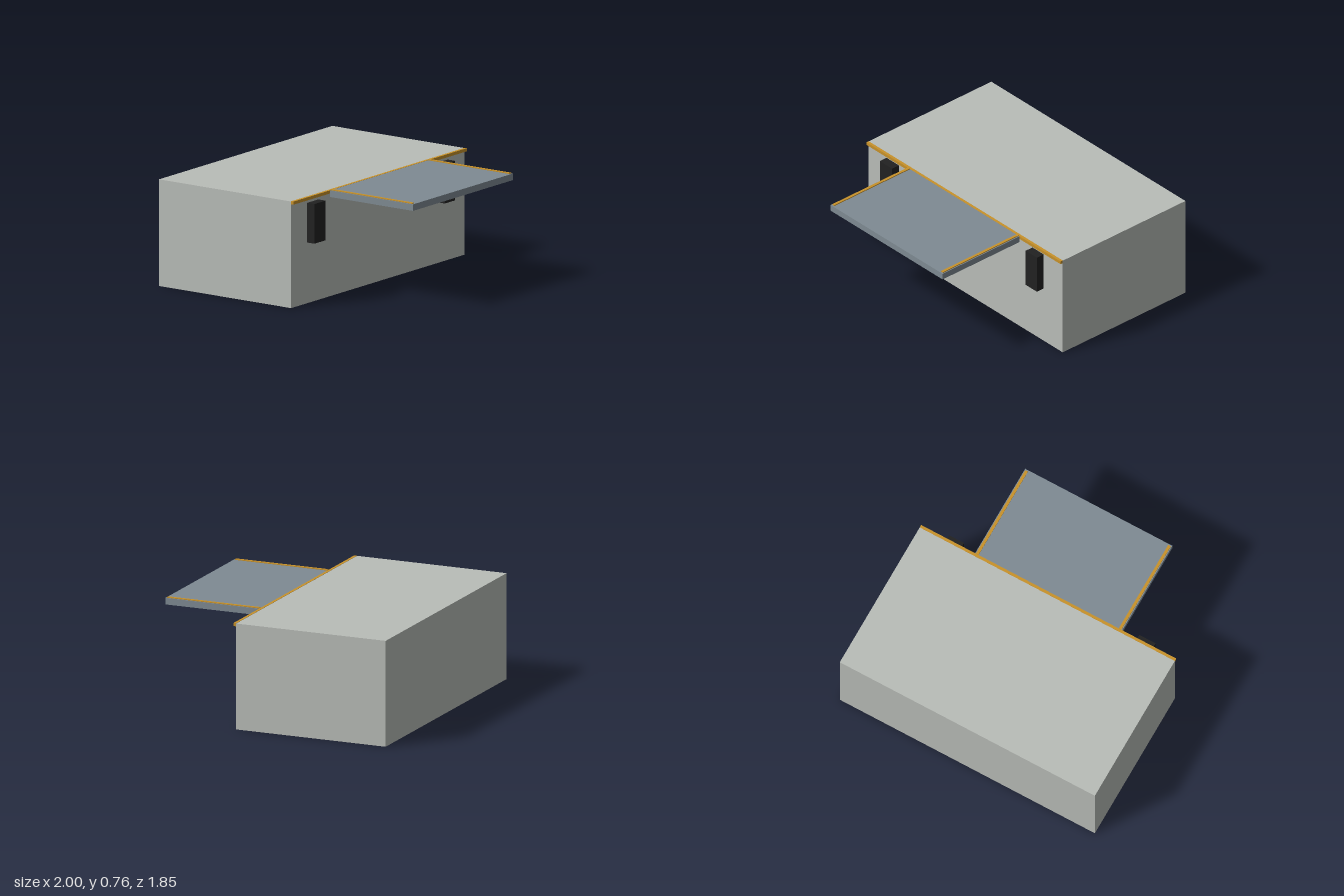
import * as THREE from 'three';

export function createModel() {
  const model = new THREE.Group();
  model.name = 'loadingDock';

  const material = (name, color) => {
    const m = new THREE.MeshStandardMaterial({ color });
    m.name = name;
    return m;
  };
  const concrete = material('concrete grey', 0xb9bdb8);
  const steel = material('steel blue grey', 0x7f8b93);
  const yellow = material('safety yellow', 0xc8922a);
  const rubber = material('black rubber', 0x222222);

  // Box given by its lower and upper corners
  const box = (name, mat, [x0, y0, z0], [x1, y1, z1]) => {
    const mesh = new THREE.Mesh(new THREE.BoxGeometry(x1 - x0, y1 - y0, z1 - z0), mat);
    mesh.position.set((x0 + x1) / 2, (y0 + y1) / 2, (z0 + z1) / 2);
    mesh.name = name;
    model.add(mesh);
  };

  // Raised dock and the painted nosing along its front edge
  box('dockBlock', concrete, [-1, 0, -0.925], [1, 0.75, 0.2]);
  box('edgeNosing', yellow, [-1, 0.73, 0.2], [1, 0.752, 0.22]);

  // Leveller plate reaching out from the dock
  box('levellerPlate', steel, [-0.577, 0.705, 0.22], [0.577, 0.751, 0.925]);

  // Painted side stripes on the plate and rubber bumpers on the dock face
  for (const [side, s] of [['left', 1], ['right', -1]]) {
    const stripe = [s * 0.55, s * 0.57].sort((a, b) => a - b);
    box(side + 'PlateStripe', yellow, [stripe[0], 0.751, 0.22], [stripe[1], 0.757, 0.915]);
    const bumper = s > 0 ? [0.688, 0.804] : [-0.815, -0.687];
    box(side + 'Bumper', rubber, [bumper[0], 0.427, 0.2], [bumper[1], 0.706, 0.262]);
  }

  return model;
}
